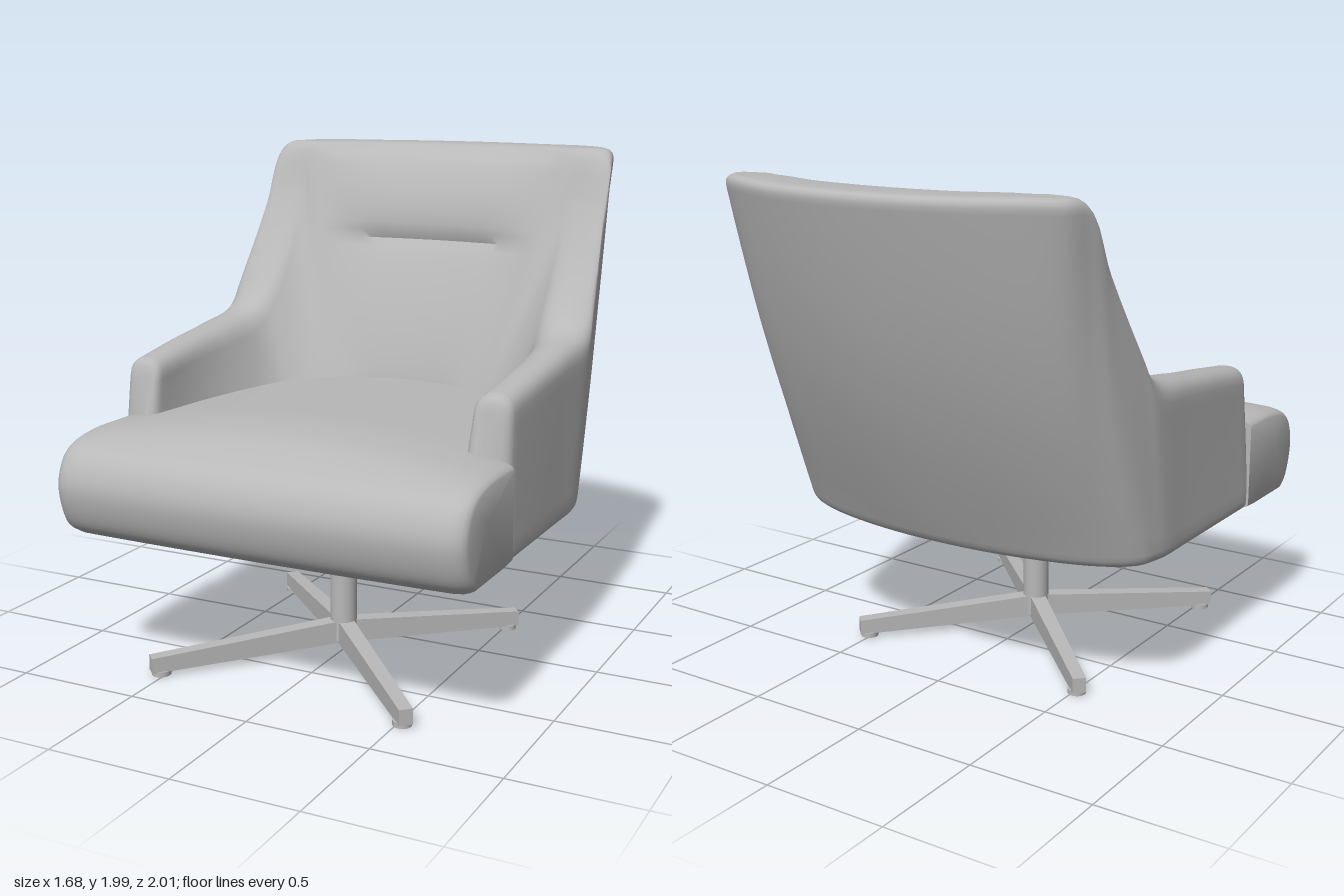
import * as THREE from 'three';
import { toCreasedNormals } from 'three/addons/utils/BufferGeometryUtils.js';

const V = (x, y, z) => new THREE.Vector3(x, y, z);

// Skin a list of equal-length closed rings and cap both ends
function loft(rings, crease) {
  const n = rings[0].length, pos = [], idx = [];
  rings.forEach(r => r.forEach(p => pos.push(p.x, p.y, p.z)));
  for (let i = 0; i < rings.length - 1; i++) {
    for (let j = 0; j < n; j++) {
      const a = i * n + j, b = i * n + (j + 1) % n;
      idx.push(a, a + n, b, b, a + n, b + n);
    }
  }
  [0, rings.length - 1].forEach(i => {
    const c = centre(rings[i]), k = pos.length / 3;
    pos.push(c.x, c.y, c.z);
    for (let j = 0; j < n; j++) {
      const a = i * n + j, b = i * n + (j + 1) % n;
      if (i === 0) idx.push(k, a, b); else idx.push(k, b, a);
    }
  });
  const g = new THREE.BufferGeometry();
  g.setAttribute('position', new THREE.Float32BufferAttribute(pos, 3));
  g.setIndex(idx);
  return toCreasedNormals(g, crease);
}

function centre(ring) {
  return ring.reduce((s, p) => s.add(p), V(0, 0, 0)).divideScalar(ring.length);
}

// Wrap-around shell stations, arm front to middle of back:
// outer bottom x,z | outer top x,y,z | inner top x,z | inner seat line x,z
const STATIONS = [
  [.83, .54, .815, 1.19, .47, .67, .47, .655, .52],
  [.83, .25, .825, 1.225, .22, .675, .22, .62, .25],
  [.83, 0, .83, 1.255, -.02, .67, -.02, .56, 0],
  [.83, -.15, .835, 1.305, -.29, .66, -.23, .5, -.16],
  [.82, -.22, .82, 1.45, -.39, .64, -.39, .45, -.22],
  [.80, -.28, .79, 1.75, -.57, .63, -.59, .39, -.27],
  [.74, -.34, .78, 1.97, -.69, .6, -.67, .33, -.31],
  [.62, -.4, .74, 1.985, -.81, .5, -.71, .25, -.345],
  [.35, -.47, .4, 1.985, -.97, .28, -.76, .13, -.375],
  [0, -.51, 0, 1.985, -1.025, 0, -.78, 0, -.385],
];

function shellGeometry() {
  const mirrored = STATIONS.slice(0, -1).reverse()
    .map(s => s.map((v, i) => ([0, 2, 5, 7].includes(i) ? -v : v)));
  const all = [...STATIONS, ...mirrored];
  const rail = f => new THREE.CatmullRomCurve3(all.map(f));
  const outerBottom = rail(s => V(s[0], .575, s[1]));
  const outerTop = rail(s => V(s[2], s[3], s[4]));
  const innerTop = rail(s => V(s[5], s[3], s[6]));
  const innerLow = rail(s => V(s[7], .95, s[8]));
  const corner = (a, c, b, n) => new THREE.QuadraticBezierCurve3(a, c, b).getPoints(n);
  const toward = (p, q, r) => p.clone().add(q.clone().sub(p).setLength(r));

  const rings = [];
  const steps = 108;
  for (let i = 0; i <= steps; i++) {
    const t = i / steps;
    const [B, T, I, N] = [outerBottom, outerTop, innerTop, innerLow].map(c => c.getPoint(t));
    const back = THREE.MathUtils.clamp((T.y - 1.3) / .6, 0, 1);
    const r = Math.min(.085 - .025 * back, T.distanceTo(I) * .48);
    const floor = V(N.x, B.y, N.z);
    // rounded bottom edge
    const oStart = toward(B, T, .05);
    const ring = corner(toward(B, floor, .05), B, oStart, 4);
    // outer face, bowed backward
    const oEnd = toward(T, B, r);
    for (let k = 1; k < 12; k++) {
      const p = oStart.clone().lerp(oEnd, k / 12);
      p.z -= .045 * back * Math.sin(Math.PI * k / 12);
      ring.push(p);
    }
    // rounded top edge
    const iStart = toward(I, N, r);
    ring.push(...corner(oEnd, T, toward(T, I, r), 5), ...corner(toward(I, T, r), I, iStart, 5));
    ring.pop();
    // inner face with head cushion, crease and lumbar cushion fading out at the wings
    const puff = 1 - THREE.MathUtils.smoothstep(Math.abs(N.x), .12, .36);
    for (let k = 0; k <= 28; k++) {
      const p = iStart.clone().lerp(N, k / 28);
      const d = p.y - 1.58;
      const w = d > 0 ? Math.min(d / .4, 1) : Math.min(-d / .63, 1);
      p.z += puff * (d > 0 ? .06 : .035) * Math.pow(Math.max(0, Math.sin(Math.PI * w)), .6);
      ring.push(p);
    }
    ring.push(floor);
    rings.push(ring);
  }
  // softened arm fronts
  const nose = (ring, scale, dz) => {
    const c = centre(ring);
    return ring.map(p => V(c.x + (p.x - c.x) * scale, c.y + (p.y - c.y) * (1 + scale) / 2, p.z + dz));
  };
  const first = rings[0], last = rings[steps];
  const soft = [[.97, .015], [.88, .03], [.7, .042], [.4, .048]];
  soft.forEach(([s, dz]) => {
    rings.unshift(nose(first, s, dz));
    rings.push(nose(last, s, dz));
  });
  return loft(rings, .75);
}

// Seat: front-to-back profile swept across the width
function seatGeometry() {
  const half = [0, .1, .2, .3, .4, .5, .6, .68, .72, .77, .8, .82, .833, .838];
  const xs = [...half.slice(1).reverse(), ...half.map(x => -x)];
  const rings = xs.map(x => {
    const a = Math.abs(x);
    const back = a < .7 ? -.42 + .7 * a * a : .53;
    const crown = .07 * (1 - (a / .84) ** 2);
    const e = THREE.MathUtils.clamp((a - .76) / .078, 0, 1);
    const k = 1 - .12 * (1 - Math.sqrt(1 - e * e));
    const front = 1 - .02 * a * a;
    const outline = new THREE.CatmullRomCurve3([
      V(x, .955 + crown, .55), V(x, .955 + crown * .6, .74), V(x, .93 + crown * .15, .88),
      V(x, .885, front - .04), V(x, .79, front), V(x, .69, front - .012),
      V(x, .61, front - .05), V(x, .576, front - .1),
    ]).getPoints(28);
    const ring = [V(x, .58, back), V(x, .955 + crown * .7, back)];
    for (let j = 1; j < 6; j++) {
      ring.push(V(x, .955 + crown * (.7 + .05 * j), back + (.55 - back) * j / 6));
    }
    ring.push(...outline, V(x, .576, .6));
    return ring.map(p => V(p.x, .76 + (p.y - .76) * k, p.z > .6 ? .6 + (p.z - .6) * k : p.z));
  });
  return loft(rings, .75);
}

// Tapered leg running along +x
function legGeometry() {
  const g = new THREE.BoxGeometry(.765, 1, 1, 6, 1, 1).translate(.3825, 0, 0);
  const p = g.attributes.position;
  for (let i = 0; i < p.count; i++) {
    const u = p.getX(i) / .765;
    const y = p.getY(i) > 0 ? .135 - .058 * u : .042 - .027 * u;
    p.setXYZ(i, p.getX(i), y, p.getZ(i) * (.065 - .012 * u));
  }
  g.computeVertexNormals();
  return g;
}

export function createModel() {
  const grey = new THREE.MeshStandardMaterial({ color: 0xb8b8b8 });
  grey.name = 'light grey';
  const model = new THREE.Group();
  model.name = 'swivelArmchair';
  const add = (parent, name, geometry) => {
    const m = new THREE.Mesh(geometry, grey);
    m.name = name;
    parent.add(m);
    return m;
  };

  add(model, 'backAndArms', shellGeometry());
  add(model, 'seat', seatGeometry());

  // Pedestal with four diagonal legs, the front pair slightly longer
  const base = new THREE.Group();
  base.name = 'base';
  base.position.z = .225;
  model.add(base);
  add(base, 'column', new THREE.CylinderGeometry(.054, .054, .55, 32).translate(0, .325, 0));
  const leg = legGeometry();
  const pad = new THREE.CylinderGeometry(.036, .036, .02, 20).translate(.725, .01, 0);
  for (const [degrees, length] of [[45, 1], [135, 1], [-46.5, 1.04], [-133.5, 1.04]]) {
    const arm = new THREE.Group();
    arm.name = 'legWithFoot';
    arm.rotation.y = THREE.MathUtils.degToRad(degrees);
    arm.scale.x = length;
    add(arm, 'leg', leg);
    add(arm, 'footPad', pad);
    base.add(arm);
  }
  return model;
}
